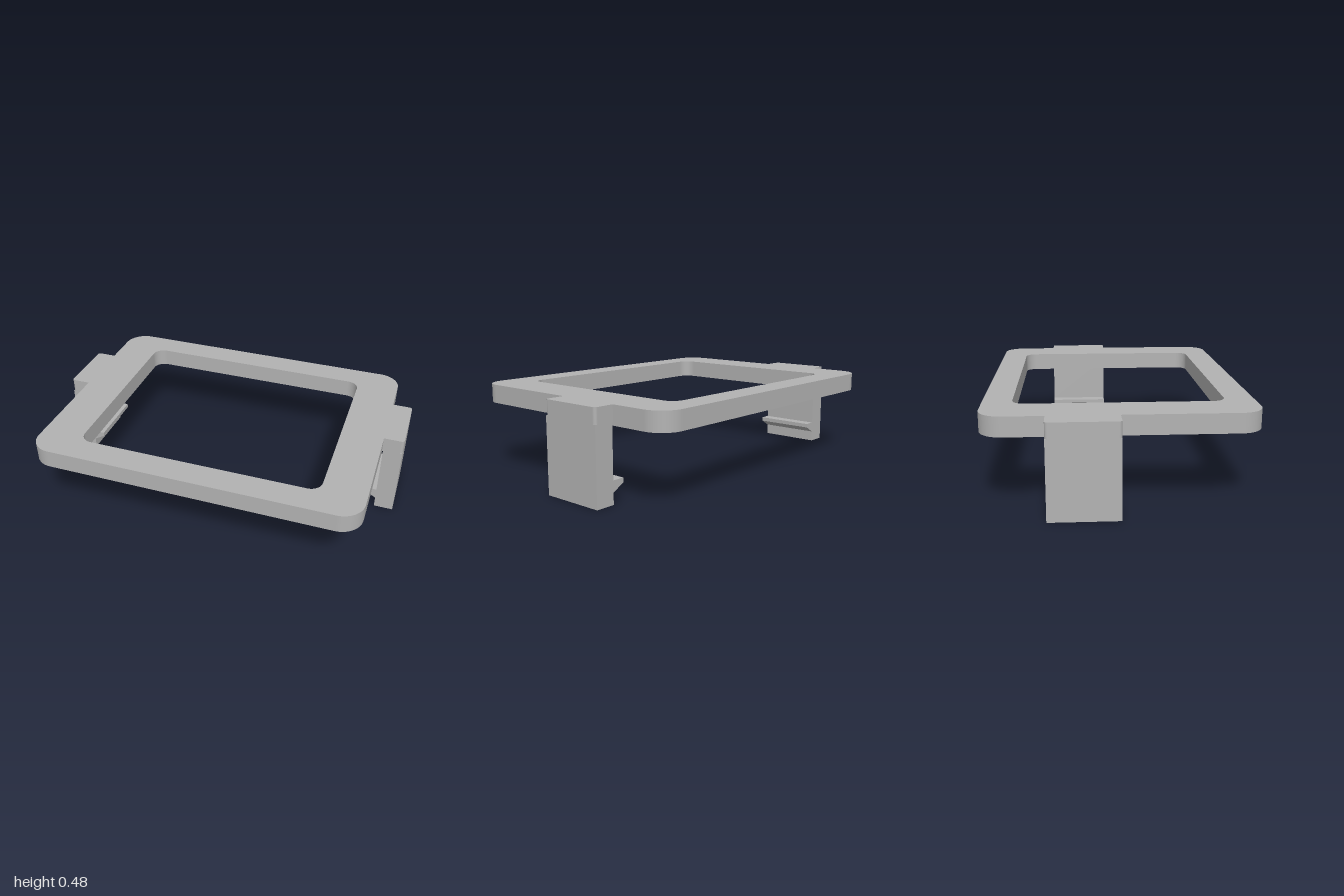
import * as THREE from 'three';

const FRAME_BOTTOM = 0.38, FRAME_TOP = 0.48;
const ARM_BACK = -0.36, ARM_FRONT = -0.01;

// Rounded rectangle centred on the origin, half sizes w and h
function roundedRect(path, w, h, r) {
  path.moveTo(-w + r, -h);
  path.lineTo(w - r, -h);
  path.absarc(w - r, -h + r, r, -Math.PI / 2, 0);
  path.lineTo(w, h - r);
  path.absarc(w - r, h - r, r, 0, Math.PI / 2);
  path.lineTo(-w + r, h);
  path.absarc(-w + r, h - r, r, Math.PI / 2, Math.PI);
  path.lineTo(-w, -h + r);
  path.absarc(-w + r, -h + r, r, Math.PI, Math.PI * 1.5);
  return path;
}

// Extrude a plan shape (x, -z) upwards between two heights
function extrudeUp(shape, y0, y1) {
  const g = new THREE.ExtrudeGeometry(shape, { depth: y1 - y0, bevelEnabled: false, curveSegments: 12 });
  return g.rotateX(-Math.PI / 2).translate(0, y0, 0);
}

function createArm(material) {
  const arm = new THREE.Group();

  // Upright leg with an inward snap hook near its foot
  const profile = new THREE.Shape([
    [0.895, 0], [1, 0], [1, 0.4], [0.895, 0.4],
    [0.895, 0.12], [0.83, 0.12], [0.83, 0.097], [0.895, 0.06],
  ].map(([x, y]) => new THREE.Vector2(x, y)));
  const legGeometry = new THREE.ExtrudeGeometry(profile, { depth: ARM_FRONT - ARM_BACK, bevelEnabled: false });
  const leg = new THREE.Mesh(legGeometry.translate(0, 0, ARM_BACK), material);
  leg.name = 'hookedLeg';

  // Tab joining the leg to the frame, outer corners rounded
  const r = 0.016, a = -ARM_FRONT, b = -ARM_BACK;
  const plan = new THREE.Shape();
  plan.moveTo(0.88, a);
  plan.lineTo(1 - r, a);
  plan.absarc(1 - r, a + r, r, -Math.PI / 2, 0);
  plan.lineTo(1, b - r);
  plan.absarc(1 - r, b - r, r, 0, Math.PI / 2);
  plan.lineTo(0.88, b);
  const tab = new THREE.Mesh(extrudeUp(plan, 0.395, FRAME_TOP), material);
  tab.name = 'tab';

  arm.add(leg, tab);
  return arm;
}

export function createModel() {
  const model = new THREE.Group();
  model.name = 'clipFrame';
  const grey = new THREE.MeshStandardMaterial({ color: 0xb2b2b2 });
  grey.name = 'grey';

  // Flat frame with a rounded opening
  const outline = roundedRect(new THREE.Shape(), 0.89, 0.678, 0.12);
  outline.holes.push(roundedRect(new THREE.Path(), 0.66, 0.53, 0.065));
  const frame = new THREE.Mesh(extrudeUp(outline, FRAME_BOTTOM, FRAME_TOP), grey);
  frame.name = 'frame';
  model.add(frame);

  // Mirrored clip arms
  for (const side of [1, -1]) {
    const arm = createArm(grey);
    arm.name = side > 0 ? 'leftArm' : 'rightArm';
    arm.scale.x = side;
    model.add(arm);
  }
  return model;
}
